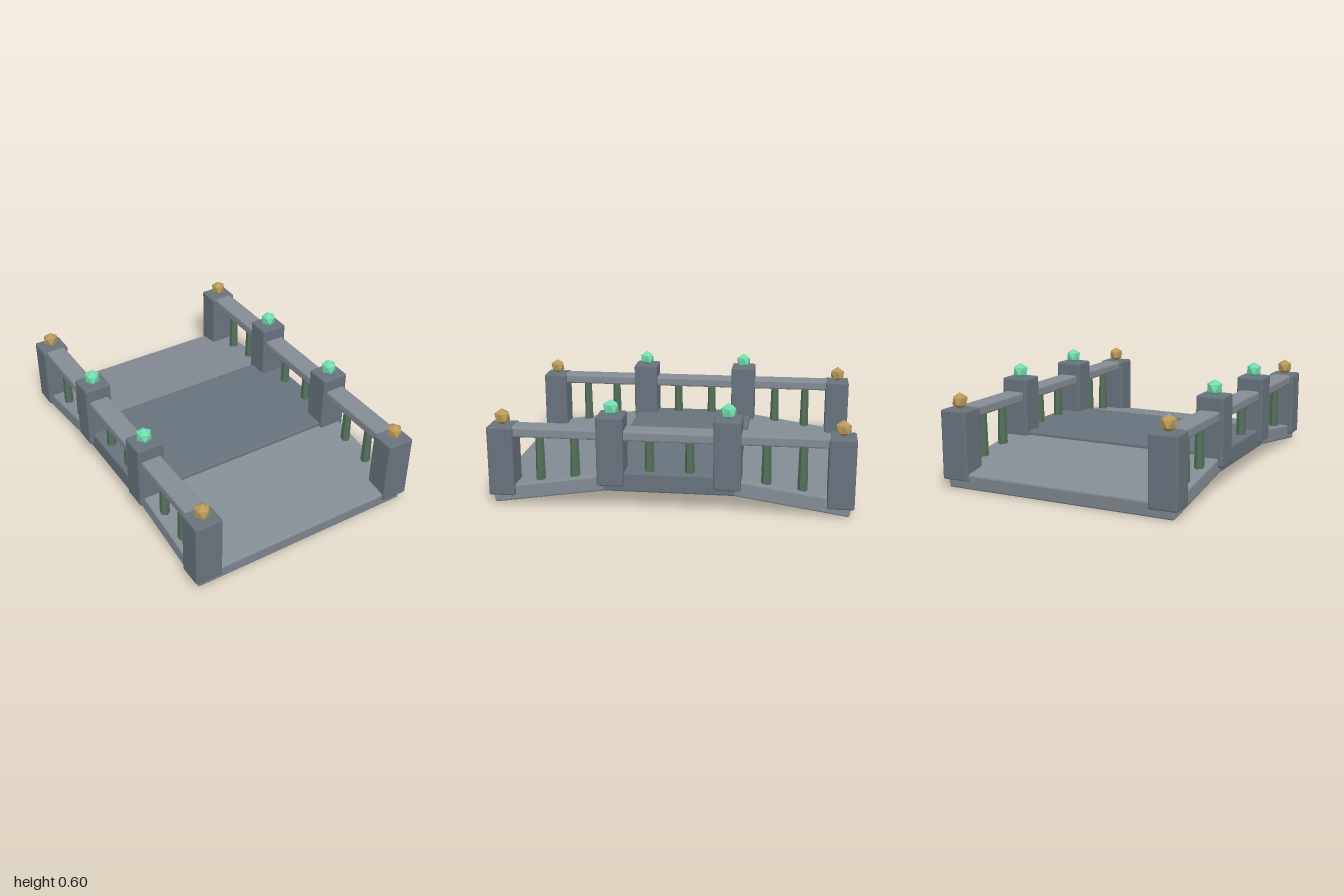
import * as THREE from 'three';
import { RoundedBoxGeometry } from 'three/addons/geometries/RoundedBoxGeometry.js';

const paint = (color) => new THREE.MeshStandardMaterial({ color, flatShading: true });

export function createModel() {
  const model = new THREE.Group();
  const darkStone = paint(0x68727c);
  const lightStone = paint(0x848c94);
  const green = paint(0x55705c);
  const gold = paint(0xb89a5a);
  const mint = paint(0x70dcae);

  const add = (name, geometry, material, x, y, z) => {
    const mesh = new THREE.Mesh(geometry, material);
    mesh.name = name;
    mesh.position.set(x, y, z);
    model.add(mesh);
    return mesh;
  };
  // Stone block with narrow worn edges
  const block = (w, h, d) => new RoundedBoxGeometry(w, h, d, 1, 0.01);

  // Icosahedron standing on a corner
  const gem = new THREE.IcosahedronGeometry(0.047, 0);
  gem.rotateZ(Math.atan(2 / (1 + Math.sqrt(5))));
  gem.rotateY(Math.PI);

  // Flat middle span and the two sloping ramps
  add('middleDeck', block(1.35, 0.11, 0.74), darkStone, 0, 0.155, 0);
  const slope = 0.15;
  for (const end of [1, -1]) {
    const ramp = add(end > 0 ? 'frontRamp' : 'backRamp',
      block(1.35, 0.09, 0.655), lightStone, 0, 0.1, end * 0.655);
    ramp.rotation.x = end * Math.atan(slope);
  }

  for (const side of [1, -1]) {
    const x = side * 0.62;
    const label = side > 0 ? 'left' : 'right';

    for (const end of [1, -1]) {
      // Low end post and tall middle post, each topped by a gem
      add(label + 'EndPost', block(0.16, 0.39, 0.145), darkStone, x, 0.252, end * 0.925);
      add(label + 'EndGem', gem, gold, x, 0.488, end * 0.925);
      add(label + 'MiddlePost', block(0.16, 0.39, 0.148), darkStone, x, 0.33, end * 0.318);
      add(label + 'MiddleGem', gem, mint, x, 0.56, end * 0.318);

      // Handrail over the ramp
      add(label + 'RampRail', block(0.12, 0.057, 0.64), lightStone, x, 0.417, end * 0.621);

      // Balusters, pairs on the ramp and one on the middle span
      for (const [z, bottom] of [[0.72, 0.135], [0.525, 0.16], [0.11, 0.2]]) {
        const height = 0.4 - bottom;
        add(label + 'Baluster', new THREE.CylinderGeometry(0.023, 0.028, height, 6),
          green, x, bottom + height / 2, end * z);
      }
    }
    add(label + 'MiddleRail', block(0.12, 0.057, 0.6), lightStone, x, 0.417, 0);
  }
  return model;
}
